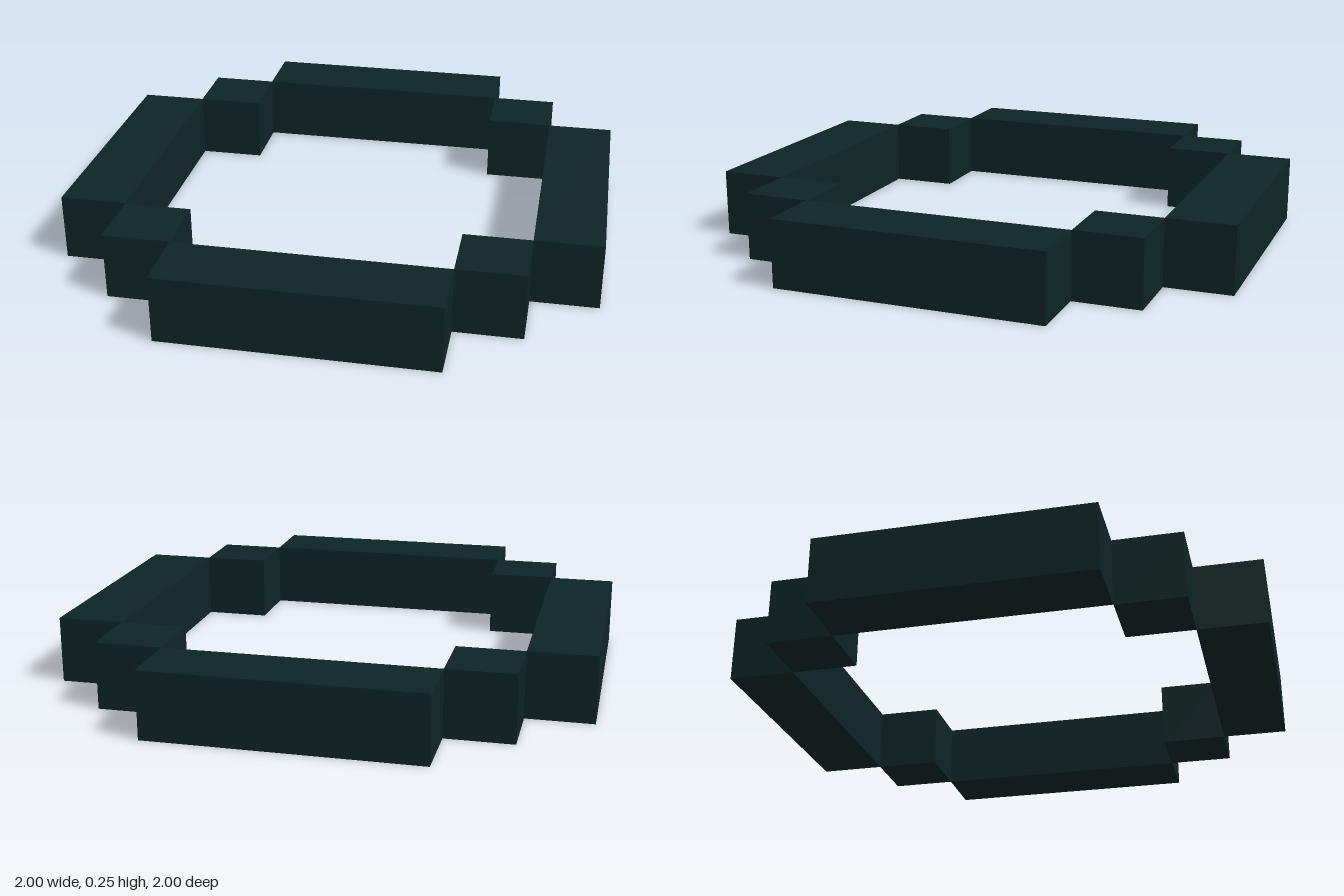
import * as THREE from 'three';

const UNIT = 0.25; // thickness of every block

export function createModel() {
  const ring = new THREE.Group();
  ring.name = 'blockRing';

  const darkTeal = new THREE.MeshStandardMaterial({ color: 0x0e2425 });
  darkTeal.name = 'darkTeal';

  const addBlock = (name, width, depth, x, z) => {
    const block = new THREE.Mesh(new THREE.BoxGeometry(width, UNIT, depth), darkTeal);
    block.name = name;
    block.position.set(x, UNIT / 2, z);
    ring.add(block);
  };

  // Four long bars
  addBlock('frontBar', 1, UNIT, 0, 0.875);
  addBlock('backBar', 1, UNIT, 0, -0.875);
  addBlock('leftBar', UNIT, 1, 0.875, 0);
  addBlock('rightBar', UNIT, 1, -0.875, 0);

  // Corner cubes touching the bars edge to edge
  for (const [side, x] of [['Left', 0.625], ['Right', -0.625]]) {
    addBlock(`front${side}Corner`, UNIT, UNIT, x, 0.625);
    addBlock(`back${side}Corner`, UNIT, UNIT, x, -0.625);
  }

  return ring;
}
